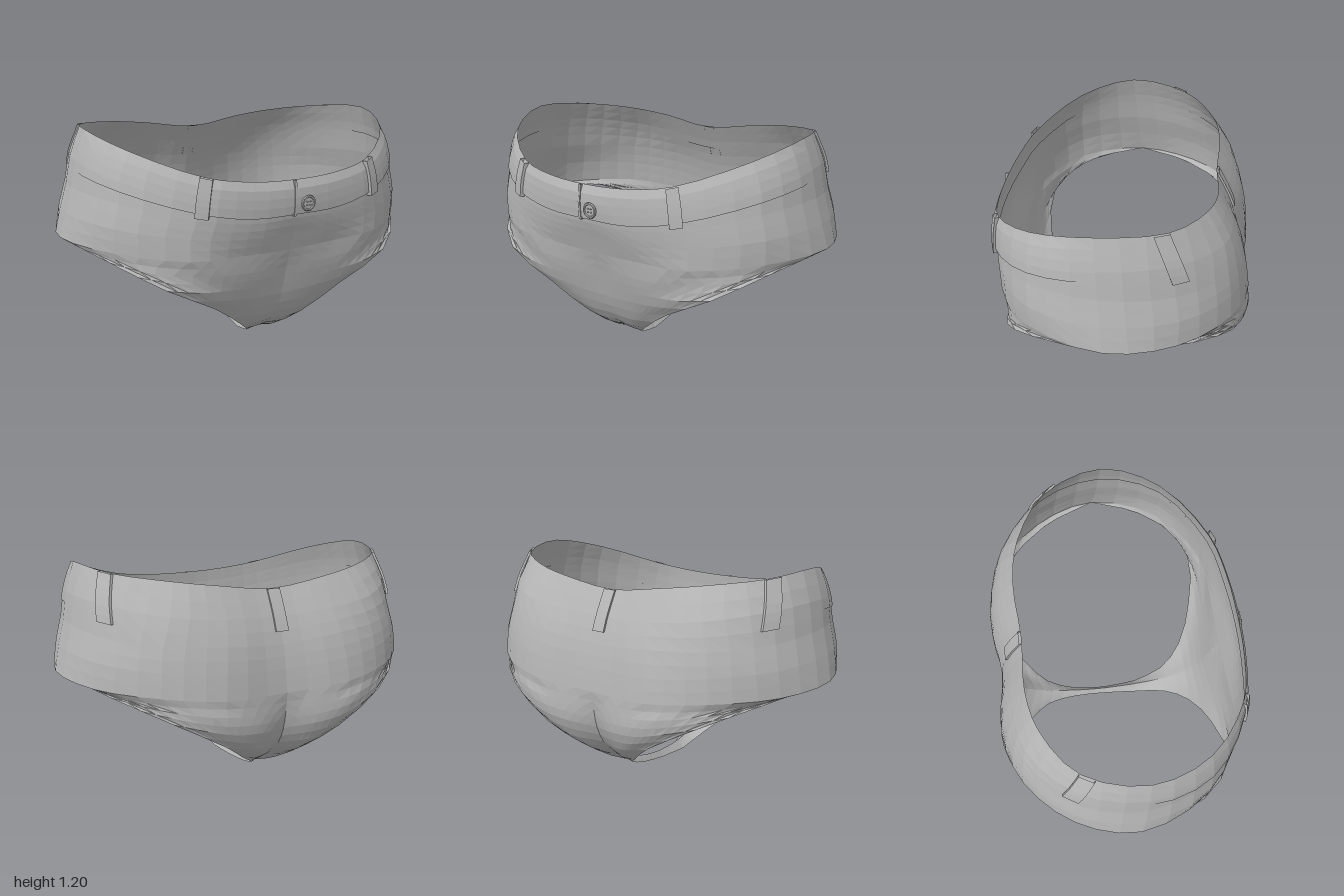
import * as THREE from 'three';

// Half cross-sections, centre line -> side seam, from waist down to the hip
const FRONT = [
  [[0, .975, .66], [.25, .985, .645], [.47, 1.02, .59], [.75, 1.13, .36], [.86, 1.2, .05]],
  [[0, .88, .67], [.25, .885, .655], [.5, .92, .6], [.8, 1.01, .37], [.91, 1.05, .04]],
  [[0, .78, .66], [.26, .78, .65], [.52, .82, .6], [.82, .89, .38], [.935, .91, .03]],
  [[0, .7, .635], [.27, .7, .635], [.55, .73, .59], [.85, .77, .38], [.97, .78, .02]],
  [[0, .6, .605], [.27, .61, .61], [.55, .62, .59], [.85, .65, .38], [1, .65, 0]],
];
const BACK = [
  [[0, 1.08, -.48], [.3, 1.12, -.49], [.52, 1.15, -.44], [.76, 1.18, -.27]],
  [[0, .95, -.55], [.3, .97, -.575], [.57, 1, -.53], [.82, 1.04, -.3]],
  [[0, .82, -.6], [.32, .85, -.63], [.62, .87, -.56], [.85, .89, -.32]],
  [[0, .7, -.63], [.34, .72, -.665], [.64, .75, -.58], [.88, .77, -.34]],
  [[0, .58, -.65], [.35, .6, -.685], [.65, .63, -.59], [.9, .64, -.34]],
];
// Lower sections, centre line -> leg opening, from the hip to the crotch
const FRONT_LOWER = [
  [[0, .5, .575], [.22, .51, .595], [.45, .53, .595], [.7, .56, .51], [.87, .6, .36]],
  [[0, .4, .55], [.15, .41, .565], [.32, .43, .58], [.5, .45, .58], [.66, .48, .55]],
  [[0, .28, .515], [.2, .29, .525], [.39, .325, .525]],
  [[0, .17, .45], [.1, .16, .45], [.19, .165, .44]],
  [[0, .085, .32], [.08, .06, .31]],
  [[0, .045, .12], [.037, 0, .13]],
];
const BACK_LOWER = [
  [[0, .48, -.64], [.2, .5, -.685], [.42, .53, -.685], [.65, .57, -.58], [.84, .61, -.41]],
  [[0, .38, -.62], [.15, .4, -.675], [.3, .42, -.69], [.45, .46, -.67], [.6, .5, -.61]],
  [[0, .28, -.57], [.17, .3, -.635], [.33, .34, -.635]],
  [[0, .2, -.49], [.1, .2, -.53], [.19, .22, -.54]],
  [[0, .14, -.39], [.075, .125, -.42]],
  [[0, .08, -.24], [.028, .05, -.25]],
  [[0, .045, -.06], [.022, .01, -.06]],
  [[0, .045, .12], [.037, 0, .13]],
];

const vec = p => new THREE.Vector3(...p);
const flip = p => [-p[0], p[1], p[2]];
const curve = (pts, closed = false) => new THREE.CatmullRomCurve3(pts, closed);

// Closed rings: t = 0 front centre, .25 left side, .5 back centre, .75 right side
const rings = FRONT.map((f, i) => {
  const b = BACK[i];
  return curve([...f, b[3], b[2], b[1], b[0], ...b.slice(1).map(flip),
    flip(f[4]), flip(f[3]), flip(f[2]), flip(f[1])].map(vec), true);
});
const ringPoint = (i, t) => rings[i].getPoint(((t % 1) + 1) % 1);

// Point on the hip surface at angle t and depth v (0 waist, 1 hip), pushed outward
function hip(t, v, out = 0) {
  const p = curve(rings.map((_, i) => ringPoint(i, t))).getPoint(v);
  const n = new THREE.Vector3(p.x, 0, p.z).normalize();
  return p.addScaledVector(n, out);
}

// Grid surface from a point rule f(u, v), u and v in 0..1
function patch(nu, nv, f) {
  const pos = [], idx = [];
  for (let j = 0; j <= nv; j++)
    for (let i = 0; i <= nu; i++) pos.push(...f(i / nu, j / nv).toArray());
  for (let j = 0; j < nv; j++)
    for (let i = 0; i < nu; i++) {
      const a = j * (nu + 1) + i, c = a + nu + 1;
      idx.push(a, c, c + 1, a, c + 1, a + 1);
    }
  const g = new THREE.BufferGeometry();
  g.setAttribute('position', new THREE.Float32BufferAttribute(pos, 3));
  g.setIndex(idx);
  g.computeVertexNormals();
  return g;
}

// Lower panel hanging from the hip ring, mirrored through side = 1 or -1
function lowerPanel(rows, t0, side) {
  const rowCurves = rows.map(r => curve(r.map(vec)));
  return patch(12, rows.length * 2, (u, v) => {
    const first = ringPoint(4, t0 + (.25 - t0) * u);
    const p = curve([first, ...rowCurves.map(c => c.getPoint(u))]).getPoint(v);
    p.x *= side;
    return p;
  });
}

export function createModel() {
  const model = new THREE.Group();
  const cloth = new THREE.MeshStandardMaterial({ color: 0xb4b4b4 });
  cloth.name = 'grey cloth';
  cloth.side = THREE.DoubleSide;
  cloth.flatShading = true;
  const add = (name, geometry, parent = model) => {
    const m = new THREE.Mesh(geometry, cloth);
    m.name = name;
    parent.add(m);
    return m;
  };

  // Hip section and the panels down to the crotch
  add('hips', patch(48, 8, (u, v) => hip(u, v)));
  for (const [side, label] of [[1, 'left'], [-1, 'right']]) {
    add(label + 'FrontPanel', lowerPanel(FRONT_LOWER, 0, side));
    add(label + 'BackPanel', lowerPanel(BACK_LOWER, .5, side));
  }

  // Raised front waistband, its lower lip fading out at the side seams
  add('frontWaistband', patch(24, 5, (u, v) => {
    const t = (u - .5) / 2, front = Math.cos(t * Math.PI * 2);
    const lip = v > .99;
    return hip(t, (.34 + .1 * front) * (lip ? 1 : v * 1.25),
      lip ? 0 : .014 * Math.sqrt(Math.max(0, front)) * Math.min(1, v * 5));
  }));

  // Facing inside the waist
  add('waistFacing', patch(48, 3, (u, v) => hip(u, .28 * v, -.008 * v)));

  // Raised strip running down from the waist
  const strip = (t, halfWidth, depth, height, lean = 0) => patch(3, 6, (u, v) => {
    const k = Math.round(u * 3);
    return hip(t + lean * v + (k < 2 ? -halfWidth : halfWidth), depth * v,
      k === 0 || k === 3 ? 0 : height);
  });

  // Belt loops
  for (const s of [1, -1]) {
    add('frontBeltLoop', strip(s * .122, .007, .46, .024, s * -.002));
    add('sideBeltLoop', strip(s * .306, .008, .38, .014, s * .012));
  }
  add('backBeltLoop', strip(.5, .007, .38, .014));

  // Fly edge
  add('flyEdge', strip(-.006, .0015, .46, .018));

  // Button with rim and four raised stitches
  const button = new THREE.Group();
  button.name = 'button';
  button.position.set(.045, .855, .684);
  add('buttonDisc', new THREE.CylinderGeometry(.036, .036, .012, 20).rotateX(Math.PI / 2), button);
  add('buttonRim', new THREE.TorusGeometry(.034, .007, 6, 20), button).position.z = .005;
  for (const x of [-1, 1])
    for (const y of [-1, 1])
      add('buttonStitch', new THREE.CylinderGeometry(.004, .004, .006, 8).rotateX(Math.PI / 2), button)
        .position.set(x * .009, y * .009, .008);
  model.add(button);

  return model;
}
